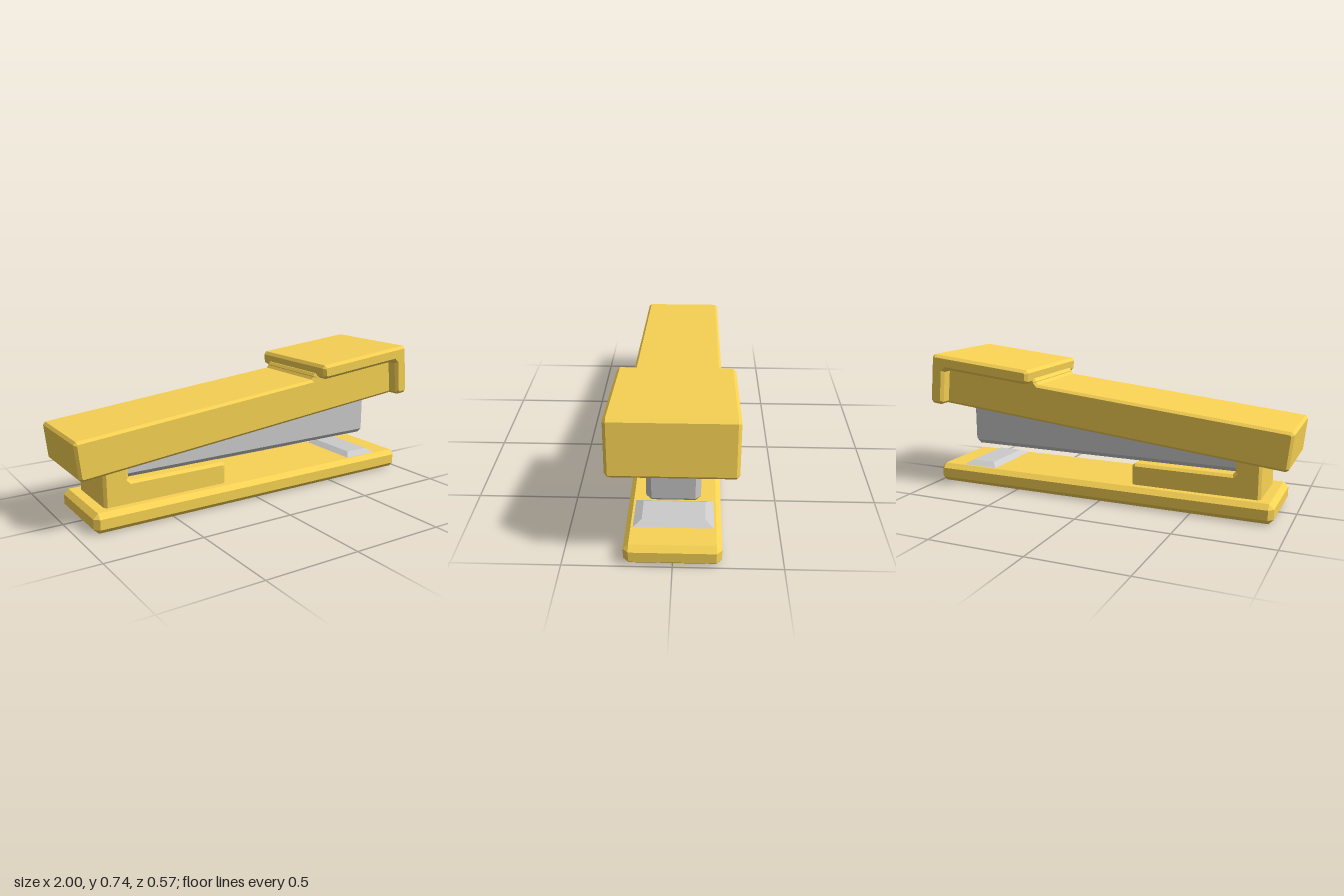
import * as THREE from 'three';
import { ConvexGeometry } from 'three/addons/geometries/ConvexGeometry.js';

const yellow = new THREE.MeshStandardMaterial({ color: 0xf9d354, flatShading: true });
const grey = new THREE.MeshStandardMaterial({ color: 0xcccccc, flatShading: true });

// Box between two x and y limits, centred on z, with all twelve edges chamfered
function chamferBox(x0, x1, y0, y1, halfZ, c) {
  const half = [(x1 - x0) / 2, (y1 - y0) / 2, halfZ];
  const points = [];
  for (const sx of [-1, 1]) for (const sy of [-1, 1]) for (const sz of [-1, 1]) {
    for (let axis = 0; axis < 3; axis++) {
      const p = half.map((h, i) => (i === axis ? h : h - c));
      points.push(new THREE.Vector3(p[0] * sx, p[1] * sy, p[2] * sz));
    }
  }
  return new ConvexGeometry(points).translate((x0 + x1) / 2, (y0 + y1) / 2, 0);
}

// Side profile with cut corners, extruded along z with chamfered sides
function chamferProfile(corners, halfZ, c) {
  const pts = corners.map(([x, y]) => new THREE.Vector2(x, y));
  const outline = [];
  pts.forEach((p, i) => {
    const prev = pts[(i + pts.length - 1) % pts.length];
    const next = pts[(i + 1) % pts.length];
    for (const q of [prev, next]) {
      outline.push(p.clone().add(q.clone().sub(p).setLength(c)));
    }
  });
  return new THREE.ExtrudeGeometry(new THREE.Shape(outline), {
    depth: 2 * (halfZ - c), bevelEnabled: true, bevelSegments: 1,
    bevelThickness: c, bevelSize: c, bevelOffset: -c,
  }).translate(0, 0, -(halfZ - c));
}

export function createModel() {
  const model = new THREE.Group();
  model.name = 'stapler';
  const add = (parent, name, geometry, material) => {
    const mesh = new THREE.Mesh(geometry, material);
    mesh.name = name;
    parent.add(mesh);
  };

  // Base plate
  add(model, 'base', chamferBox(-0.92, 0.997, 0, 0.102, 0.222, 0.025), yellow);

  // L-shaped hinge support, its top hidden inside the arm
  add(model, 'hingeSupport', chamferProfile([
    [-0.845, 0.08], [-0.168, 0.08], [-0.168, 0.215],
    [-0.715, 0.215], [-0.715, 0.36], [-0.845, 0.36],
  ], 0.162, 0.014), yellow);

  // Staple magazine, running up into the arm
  add(model, 'magazine', chamferBox(-0.74, 0.818, 0.218, 0.48, 0.125, 0.025), grey);

  // Anvil: a low frustum on the base
  const anvil = [];
  for (const sz of [-1, 1]) {
    for (const [x, y, z] of [[0.645, 0.1, 0.19], [0.855, 0.1, 0.19], [0.682, 0.124, 0.147], [0.818, 0.124, 0.147]]) {
      anvil.push(new THREE.Vector3(x, y, z * sz));
    }
  }
  add(model, 'anvil', new ConvexGeometry(anvil), grey);

  // Tilted top: arm with a low step, and the L-shaped cap over its end
  const top = new THREE.Group();
  top.name = 'topAssembly';
  top.position.set(-0.98, 0.273, 0);
  top.rotation.z = 0.0997;
  model.add(top);
  add(top, 'arm', chamferProfile([
    [0, 0], [1.925, 0], [1.925, 0.225], [1.365, 0.225], [1.365, 0.195], [0, 0.195],
  ], 0.222, 0.013), yellow);
  add(top, 'cap', chamferProfile([
    [1.905, 0], [1.985, 0], [1.985, 0.275],
    [1.383, 0.275], [1.383, 0.2], [1.905, 0.2],
  ], 0.285, 0.015), yellow);

  return model;
}
